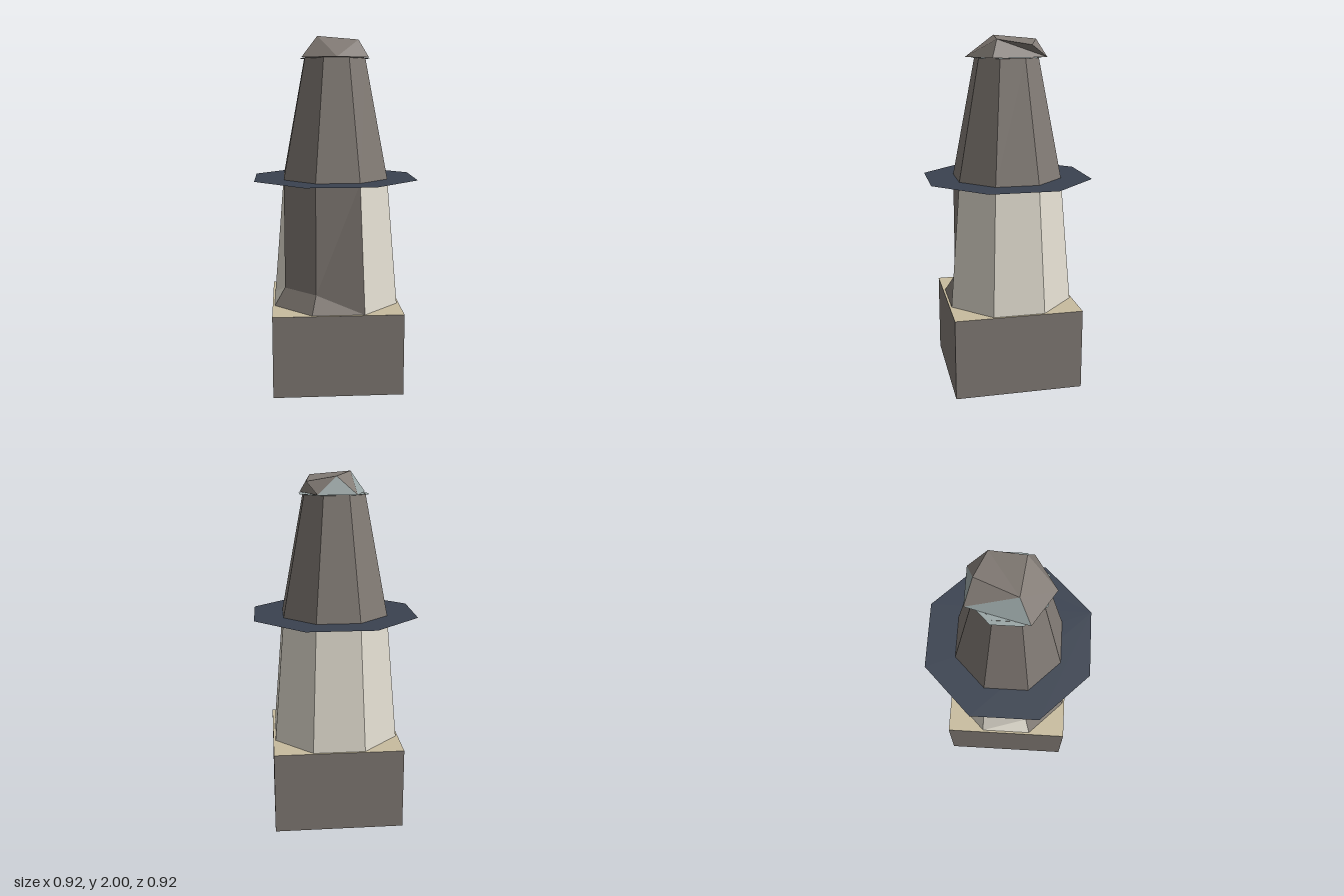
import * as THREE from 'three';

const mat = (name, color, side = THREE.FrontSide) => {
  const m = new THREE.MeshStandardMaterial({ color, side });
  m.name = name;
  return m;
};

// Octagon corner k (flat side to the front) at a given apothem and height
function corner(k, apothem, y) {
  const a = Math.PI / 8 + (k * Math.PI) / 4;
  const r = apothem / Math.cos(Math.PI / 8);
  return [r * Math.sin(a), y, r * Math.cos(a)];
}

// Flat-faced mesh from convex polygons, corners counter-clockwise from outside
function facets(name, polygons, material) {
  const pos = [];
  for (const p of polygons)
    for (let i = 1; i < p.length - 1; i++) pos.push(...p[0], ...p[i], ...p[i + 1]);
  const g = new THREE.BufferGeometry();
  g.setAttribute('position', new THREE.Float32BufferAttribute(pos, 3));
  g.computeVertexNormals();
  const mesh = new THREE.Mesh(g, material);
  mesh.name = name;
  return mesh;
}

// Flat octagonal plate
function plate(name, apothem, y, material) {
  const ring = [];
  for (let k = 0; k < 8; k++) ring.push(corner(k, apothem, y));
  return facets(name, [ring], material);
}

export function createModel() {
  const group = new THREE.Group();
  group.name = 'tower';
  const stone = mat('greyStone', 0x827b75, THREE.DoubleSide);
  const cream = mat('creamWall', 0xe4dfd2, THREE.DoubleSide);
  const tan = mat('tanTop', 0xc8bc9f);
  const navy = mat('navyBrim', 0x3a4250, THREE.DoubleSide);
  const blue = mat('paleBlue', 0x9aa6a6, THREE.DoubleSide);

  // Square base with a tan top
  const base = new THREE.Mesh(new THREE.BoxGeometry(0.735, 0.47, 0.735),
    [stone, stone, tan, stone, stone, stone]);
  base.position.y = 0.235;
  base.name = 'base';
  group.add(base);

  // Lower tower: plain cream sides
  const low = (k) => corner(k, 0.355, 0.47);
  const high = (k) => corner(k, 0.295, 1.2);
  const walls = [];
  for (let k = 0; k < 5; k++) walls.push([low(k), low(k + 1), high(k + 1), high(k)]);

  // One corner is cut back upright, with a short flare at its foot
  const cutA = corner(6, 0.295, 0.57);
  const cutB = corner(7, 0.295, 0.57);
  walls.push([low(5), low(6), cutA], [low(5), cutA, high(5)], [cutA, high(6), high(5)]);
  group.add(facets('lowerWalls', walls, cream));
  group.add(facets('lowerFront', [
    [low(6), low(7), cutB, cutA],
    [cutA, cutB, high(7), high(6)],
    [low(7), low(0), cutB],
    [cutB, low(0), high(0)],
    [cutB, high(0), high(7)],
  ], stone));

  // Flat brim between the two tower stages
  group.add(plate('brim', 0.46, 1.2, navy));

  // Upper tower
  const upper = [];
  for (let k = 0; k < 8; k++)
    upper.push([corner(k, 0.295, 1.2), corner(k + 1, 0.295, 1.2),
      corner(k + 1, 0.17, 1.88), corner(k, 0.17, 1.88)]);
  group.add(facets('upperWalls', upper, stone));

  // Plate under the cap
  group.add(plate('capPlate', 0.193, 1.878, blue));

  // Rough boulder-like cap: rim corners, then peak corners
  const backR = [-0.11, 1.882, -0.21], backL = [0.105, 1.882, -0.21];
  const sideL = [0.185, 1.882, 0.115], nose = [0, 1.882, 0.235], sideR = [-0.19, 1.882, 0.115];
  const peakR = [-0.1, 2, 0.055], peakL = [0.13, 1.98, 0.08];
  const ledge = [0.16, 1.95, -0.11], peakBack = [0, 1.98, -0.17];
  group.add(facets('cap', [
    [peakR, peakL, ledge, peakBack],
    [sideR, nose, peakR],
    [nose, peakL, peakR],
    [nose, sideL, peakL],
    [sideL, backL, peakL],
    [peakL, backL, ledge],
    [ledge, backL, peakBack],
    [peakBack, backR, peakR],
    [nose, sideR, backR, backL, sideL],
  ], stone));
  group.add(facets('capBlueFaces', [
    [backL, backR, peakBack],
    [backR, sideR, peakR],
  ], blue));

  return group;
}
